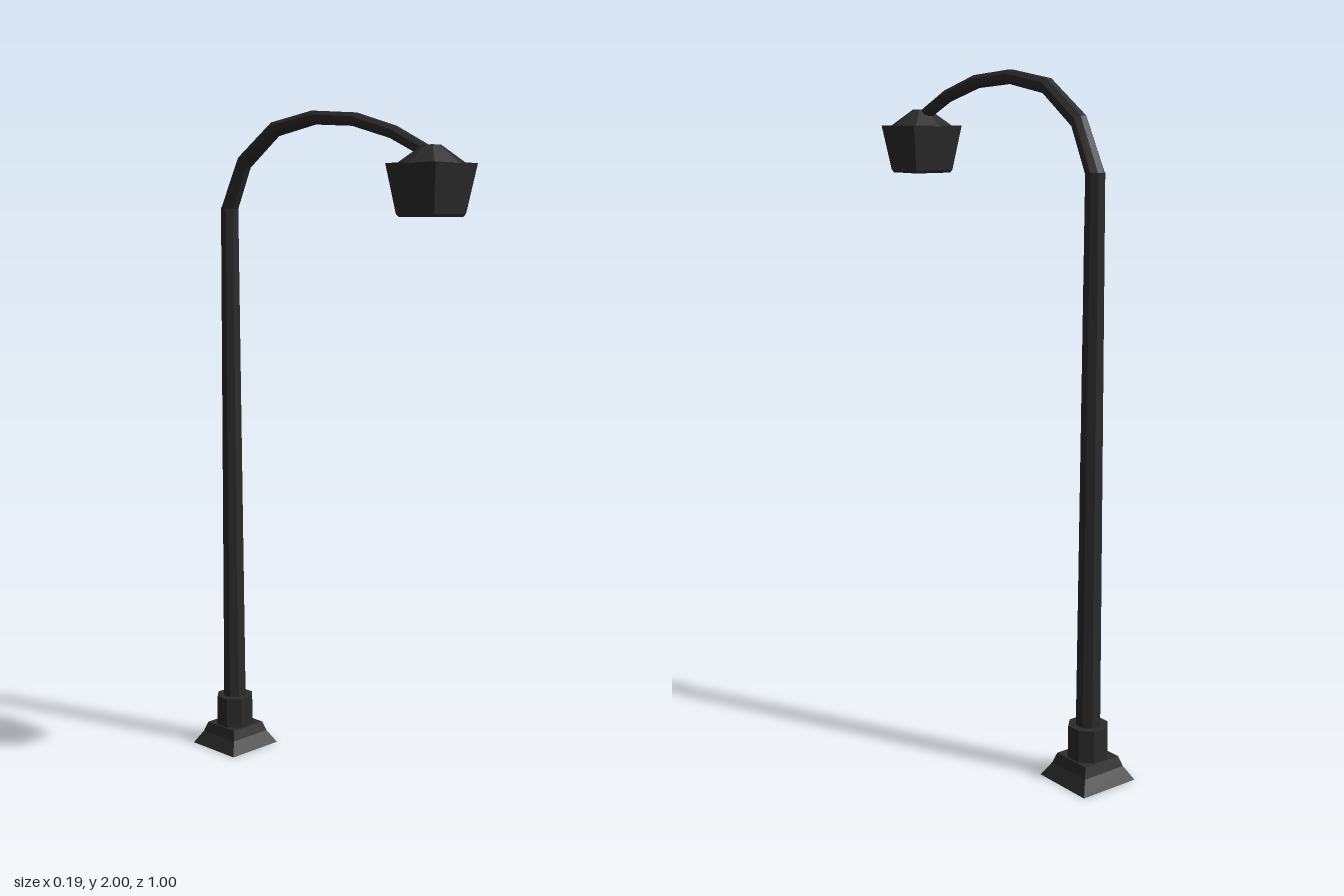
import * as THREE from 'three';

const POST_Z = -0.403, LAMP_Z = 0.402;

// Separate every face so the low-poly facets stay crisp
function flat(geometry) {
  const g = geometry.toNonIndexed();
  g.computeVertexNormals();
  return g;
}

// Upright prism with flat sides facing the axes, from y0 to y1.
// Radii are measured to the flats (half widths).
function prism(sides, y0, y1, r0, r1, z, open = false) {
  const k = 1 / Math.cos(Math.PI / sides);
  const g = new THREE.CylinderGeometry(r1 * k, r0 * k, y1 - y0, sides, 1, open);
  g.rotateY(Math.PI / sides);
  g.translate(0, (y0 + y1) / 2, z);
  return flat(g);
}

// Tapered arm: a unit cylinder whose rings are moved onto a curve
function armGeometry(points, radii) {
  const n = points.length - 1;
  const g = new THREE.CylinderGeometry(1, 1, 1, 8, n);
  g.rotateY(Math.PI / 8);
  const pos = g.attributes.position;
  const side = new THREE.Vector3(1, 0, 0);
  for (let v = 0; v < pos.count; v++) {
    const i = Math.round((pos.getY(v) + 0.5) * n);
    const before = points[Math.max(i - 1, 0)], after = points[Math.min(i + 1, n)];
    const tangent = i === 0
      ? new THREE.Vector3(0, 1, 0)
      : after.clone().sub(before).normalize();
    const normal = side.clone().cross(tangent);
    const p = points[i].clone()
      .addScaledVector(side, pos.getX(v) * radii[i])
      .addScaledVector(normal, pos.getZ(v) * radii[i]);
    pos.setXYZ(v, p.x, p.y, p.z);
  }
  return flat(g);
}

export function createModel() {
  const model = new THREE.Group();
  model.name = 'streetLamp';
  const iron = new THREE.MeshStandardMaterial({ color: 0x2b2b2b });
  iron.name = 'darkIron';

  const add = (name, geometry) => {
    const mesh = new THREE.Mesh(geometry, iron);
    mesh.name = name;
    model.add(mesh);
  };

  // Square stepped foot
  add('footLower', prism(4, 0, 0.04, 0.096, 0.072, POST_Z));
  add('footUpper', prism(4, 0.04, 0.07, 0.072, 0.062, POST_Z));

  // Octagonal collar and tapered post
  add('collar', prism(8, 0.07, 0.165, 0.056, 0.055, POST_Z));
  add('post', prism(8, 0.165, 1.725, 0.034, 0.026, POST_Z));

  // Curved arm reaching forward over the lantern
  const path = [
    [1.72, POST_Z], [1.858, -0.335], [1.952, -0.2], [1.979, -0.04],
    [1.968, 0.12], [1.928, 0.265], [1.865, LAMP_Z],
  ].map(([y, z]) => new THREE.Vector3(0, y, z));
  add('arm', armGeometry(path, [0.028, 0.025, 0.023, 0.021, 0.02, 0.019, 0.018]));

  // Square lantern, wider at the top, with a thin bottom lip
  add('lantern', prism(4, 1.708, 1.842, 0.067, 0.088, LAMP_Z));
  add('lanternBottom', prism(4, 1.7, 1.708, 0.062, 0.067, LAMP_Z));

  // Eight-sided cap with corners on the axes
  const cap = new THREE.CylinderGeometry(0.025, 0.096, 0.05, 8);
  cap.translate(0, 1.865, LAMP_Z);
  add('lanternCap', flat(cap));

  return model;
}
